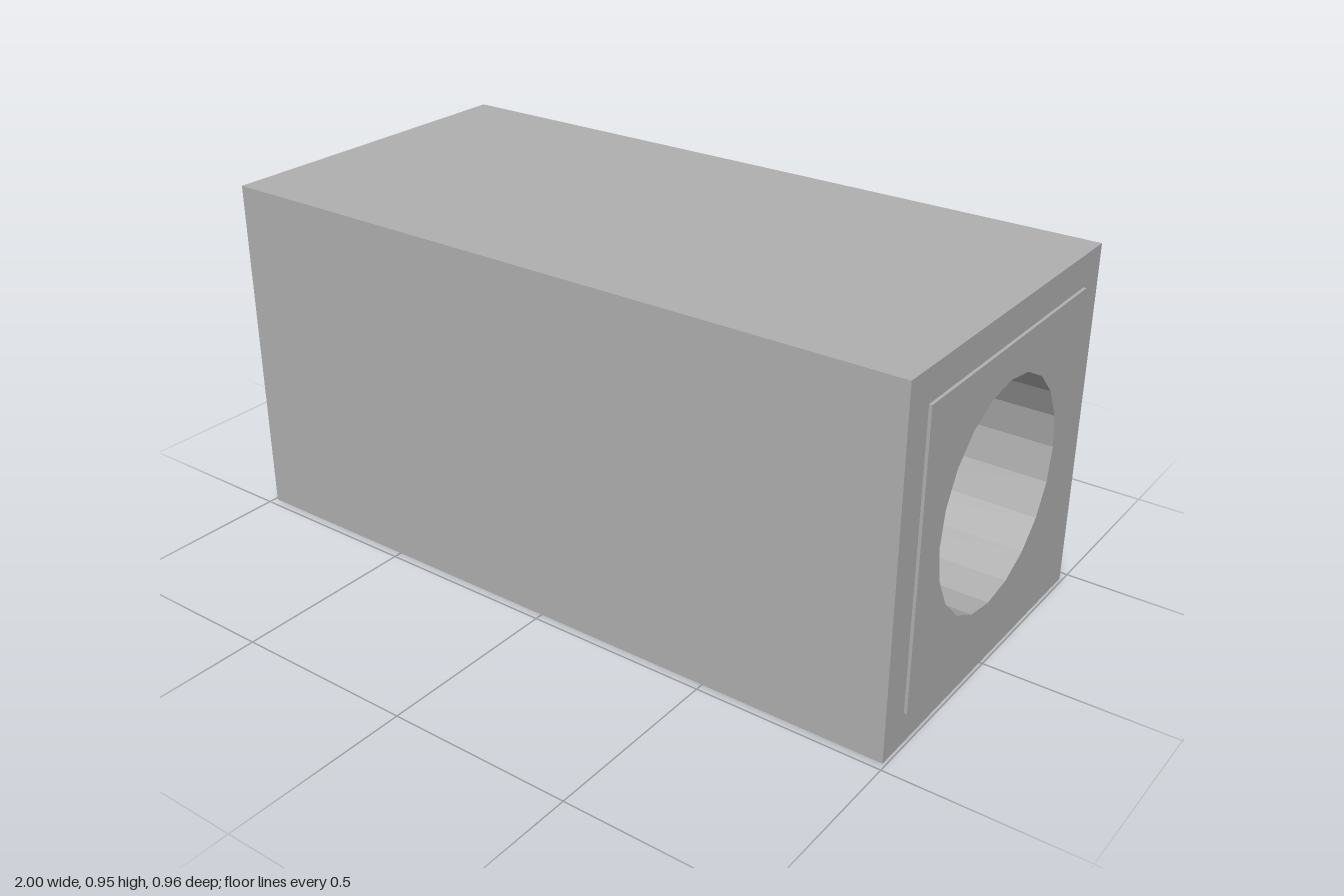
import * as THREE from 'three';

const W = 1.984, S = 0.948;          // body length and square section
const R = 0.295, SIDES = 20;         // bore radius and facets
const PLATE = 0.776, LIP = 0.008;    // raised plate size and thickness
const DEPTH = 0.56;                  // bore depth
const CY = S / 2, CZ = 0.004;        // body centre

function rect(w, h, Type = THREE.Shape) {
  const s = new Type();
  s.moveTo(-w / 2, -h / 2);
  s.lineTo(w / 2, -h / 2);
  s.lineTo(w / 2, h / 2);
  s.lineTo(-w / 2, h / 2);
  s.closePath();
  return s;
}

function circlePath() {
  const pts = [];
  for (let i = 0; i < SIDES; i++) {
    const a = (i / SIDES) * Math.PI * 2;
    pts.push(new THREE.Vector2(R * Math.cos(a), R * Math.sin(a)));
  }
  return new THREE.Path(pts);
}

export function createModel() {
  const grey = new THREE.MeshStandardMaterial({ color: 0xb0b0b0, flatShading: true, side: THREE.DoubleSide });
  grey.name = 'plain grey';

  const model = new THREE.Group();
  model.name = 'socketBlock';

  const add = (parent, name, geometry) => {
    const mesh = new THREE.Mesh(geometry, grey);
    mesh.name = name;
    parent.add(mesh);
    return mesh;
  };

  // Plain walls of the block
  add(model, 'frontWall', new THREE.PlaneGeometry(W, S)).position.set(0, CY, CZ + S / 2);
  const top = add(model, 'topWall', new THREE.PlaneGeometry(W, S));
  top.rotation.x = -Math.PI / 2;
  top.position.set(0, S, CZ);
  const bottom = add(model, 'bottomWall', new THREE.PlaneGeometry(W, S));
  bottom.rotation.x = Math.PI / 2;
  bottom.position.set(0, 0, CZ);

  // Wall with a raised square plate and a blind faceted bore; outward is local +z
  const socketWall = (name, width, position, turn) => {
    const group = new THREE.Group();
    group.name = name;
    group.position.set(...position);
    group.rotation.y = turn;

    const wall = rect(width, S);
    wall.holes.push(rect(PLATE, PLATE, THREE.Path));
    add(group, 'wall', new THREE.ShapeGeometry(wall)).position.z = -LIP;

    const plate = rect(PLATE, PLATE);
    plate.holes.push(circlePath());
    add(group, 'raisedPlate', new THREE.ExtrudeGeometry(plate, { depth: LIP, bevelEnabled: false })).position.z = -LIP;

    // Bore wall and flat bottom, facing inwards
    const profile = [[R, -LIP], [R, -DEPTH], [0, -DEPTH]].map(([x, y]) => new THREE.Vector2(x, y));
    add(group, 'bore', new THREE.LatheGeometry(profile, SIDES).rotateX(Math.PI / 2));
    model.add(group);
  };

  socketWall('leftSocket', S, [1, CY, CZ], Math.PI / 2);
  socketWall('rightSocket', S, [-1, CY, CZ], -Math.PI / 2);
  socketWall('backSocket', W, [0, CY, CZ - S / 2 - LIP], Math.PI);

  return model;
}
